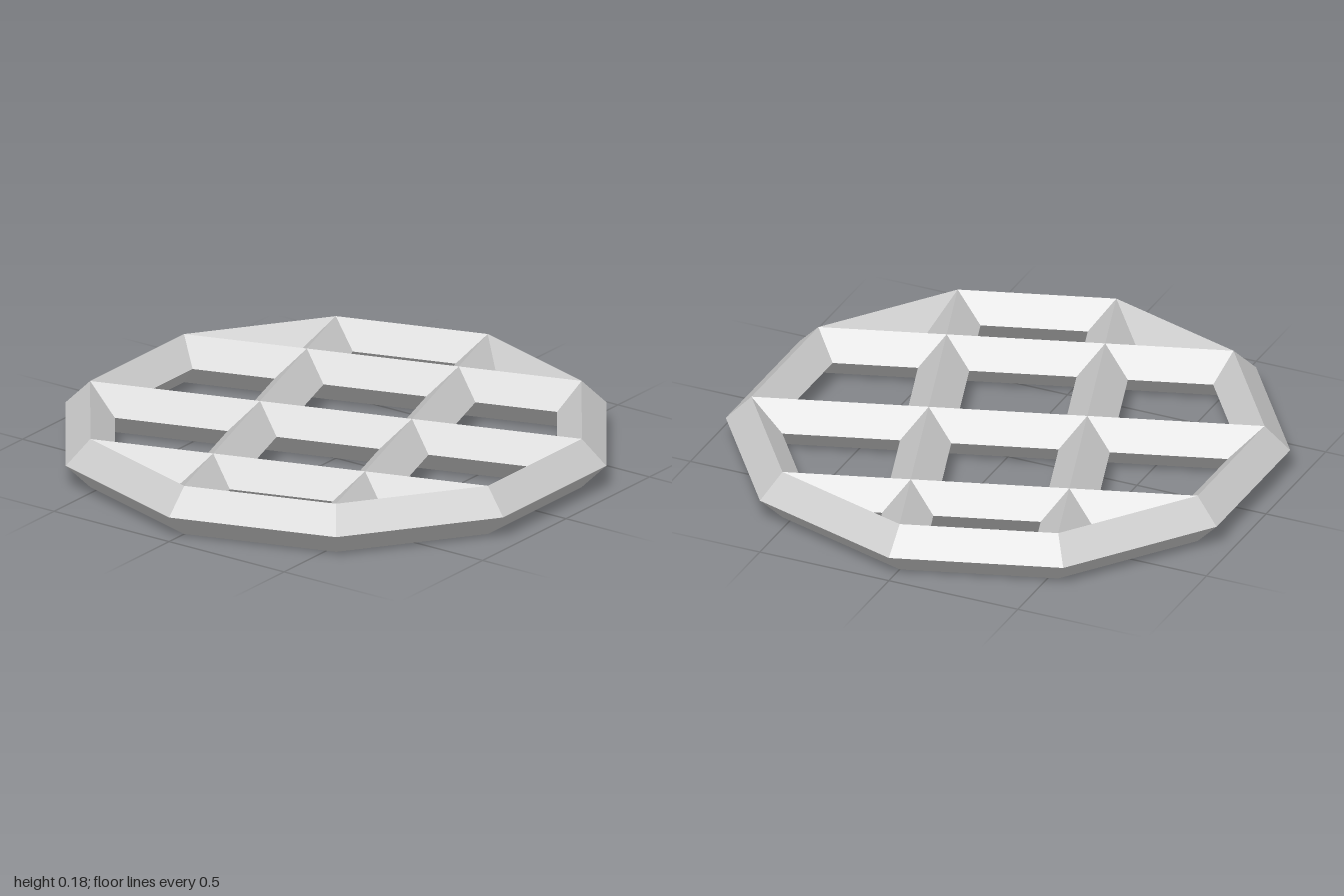
import * as THREE from 'three';

const SIDES = 10;
const RING_RADIUS = 1 / 1.1;
const THICKNESS = 0.1 / 1.1; // half-diagonal of the diamond cross-section

// Corner k of the ring's centre line
function corner(k) {
  const a = (k * Math.PI * 2) / SIDES;
  return new THREE.Vector3(Math.cos(a) * RING_RADIUS, THICKNESS, Math.sin(a) * RING_RADIUS);
}

export function createModel() {
  const group = new THREE.Group();
  group.name = 'latticeRing';
  const material = new THREE.MeshStandardMaterial({ color: 0xcccccc, flatShading: true });

  // Ten-sided rim with a diamond section
  const rim = new THREE.Mesh(
    new THREE.TorusGeometry(RING_RADIUS, THICKNESS, 4, SIDES).rotateX(Math.PI / 2),
    material
  );
  rim.name = 'rim';
  rim.position.y = THICKNESS;
  group.add(rim);

  // Diamond bar joining two rim corners
  const addBar = (name, from, to) => {
    const a = corner(from);
    const b = corner(to);
    const geometry = new THREE.CylinderGeometry(THICKNESS, THICKNESS, a.distanceTo(b), 4);
    geometry.rotateX(Math.PI / 2);
    const bar = new THREE.Mesh(geometry, material);
    bar.name = name;
    bar.position.copy(a).add(b).multiplyScalar(0.5);
    bar.rotation.y = Math.atan2(b.x - a.x, b.z - a.z);
    group.add(bar);
  };

  // Two bars one way, three the other
  [[5, 9], [4, 0]].forEach(([a, b], i) => addBar(`crossBar${i + 1}`, a, b));
  [[6, 3], [7, 2], [8, 1]].forEach(([a, b], i) => addBar(`longBar${i + 1}`, a, b));

  return group;
}
